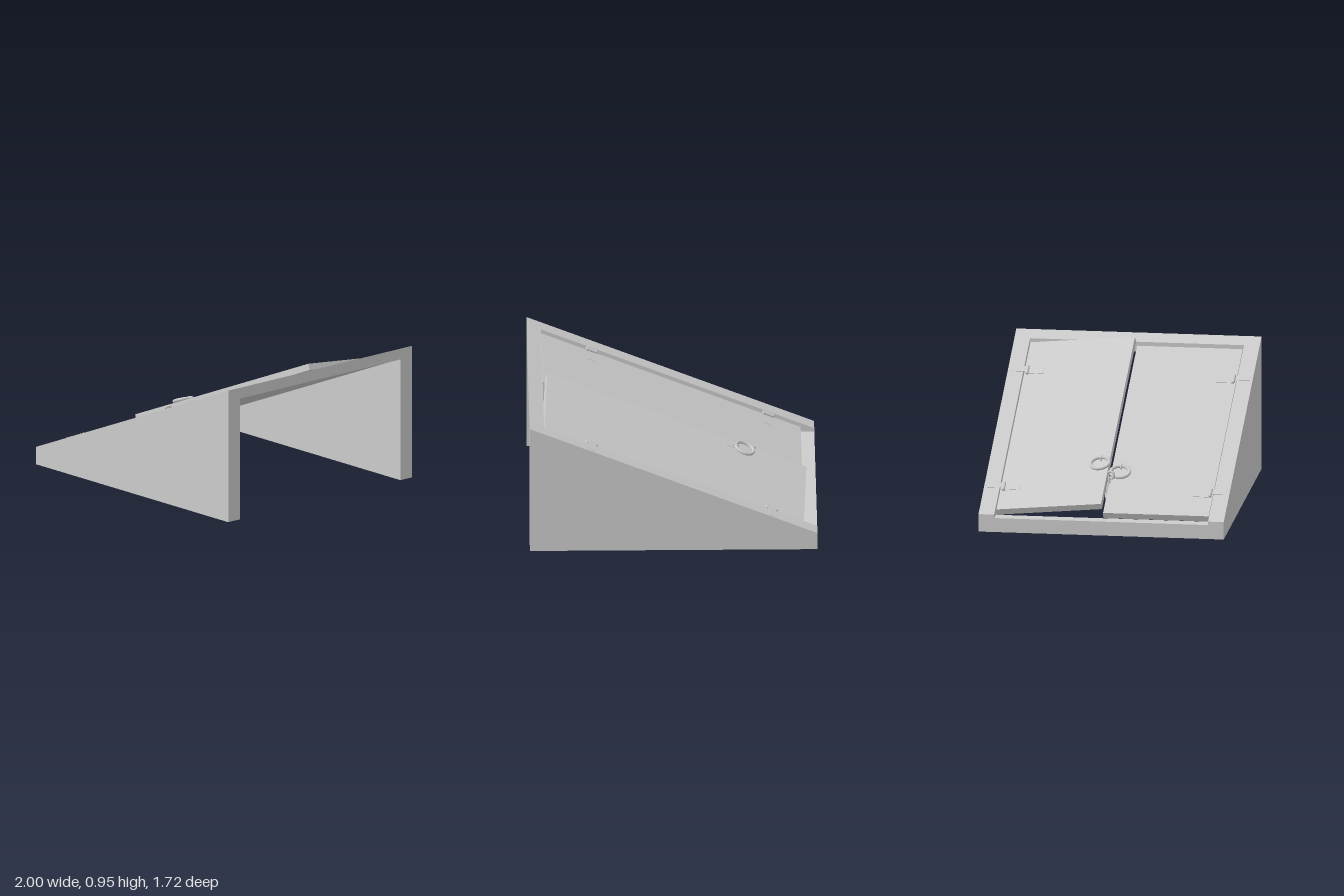
import * as THREE from 'three';

const material = new THREE.MeshStandardMaterial({ color: 0xcccccc });

function part(name, geometry, parent, x = 0, y = 0, z = 0) {
  const mesh = new THREE.Mesh(geometry, material);
  mesh.name = name;
  mesh.position.set(x, y, z);
  parent.add(mesh);
  return mesh;
}

// Side profile in x/y, extruded along z
function slab(points, depth) {
  const shape = new THREE.Shape(points.map(([x, y]) => new THREE.Vector2(x, y)));
  return new THREE.ExtrudeGeometry(shape, { depth, bevelEnabled: false });
}

const box = (w, h, d) => new THREE.BoxGeometry(w, h, d);
const SLOPE = Math.atan(0.4125);
const HINGE_Z = 0.742;
const UNDER = -0.069; // door underside, measured from the sloping frame top
const THICK = 0.045;

// One leaf, its origin on the hinge line; side is +1 or -1 in z
function makeDoor(side, opening) {
  const door = new THREE.Group();
  door.name = side > 0 ? 'closedDoor' : 'raisedDoor';
  door.position.set(0, UNDER, side * HINGE_Z);
  door.rotation.x = side * opening;

  const width = HINGE_Z - 0.001;
  part('doorPanel', box(1.949, THICK, width), door, -0.0145, THICK / 2, -side * width / 2);

  // Pull ring, its staple and small plate
  const ring = part('pullRing', new THREE.TorusGeometry(0.066, 0.012, 10, 32), door,
    -0.522, THICK + 0.012, -side * (HINGE_Z - 0.064));
  ring.rotation.x = Math.PI / 2;
  part('ringPlate', box(0.07, 0.004, 0.06), door, -0.415, THICK + 0.001, -side * (HINGE_Z - 0.06));
  const staple = part('ringStaple', new THREE.TorusGeometry(0.02, 0.007, 8, 16, Math.PI), door,
    -0.455, THICK, -side * (HINGE_Z - 0.064));
  staple.rotation.y = 0;

  // Door half of each hinge
  for (const u of hingeSpots(side)) {
    part('hingeDoorPlate', box(0.058, 0.004, 0.11), door, u, THICK + 0.001, -side * 0.082);
  }
  return door;
}

const hingeSpots = (side) => [-0.74, side > 0 ? 0.59 : 0.615];

export function createModel() {
  const model = new THREE.Group();
  model.name = 'cellarDoors';

  // Wedge-shaped side walls
  const wall = slab([[-1, 0], [1, 0], [1, 0.95], [-1, 0.125]], 0.11);
  part('rightWall', wall, model, 0, 0, 0.75);
  part('leftWall', wall, model, 0, 0, -0.86);

  // Low sill and sloping head rail joining the walls
  part('sill', box(0.095, 0.1, 1.5), model, -0.9525, 0.05, 0);
  part('headRail', slab([[0.9, 0.838], [1, 0.872], [1, 0.95], [0.9, 0.909]], 1.5), model, 0, 0, -0.75);

  // Everything lying on the slope
  const slope = new THREE.Group();
  slope.name = 'slope';
  slope.position.y = 0.5375;
  slope.rotation.z = SLOPE;
  model.add(slope);
  slope.add(makeDoor(1, 0), makeDoor(-1, 0.105));

  // Frame half of each hinge with barrel and pin heads
  for (const side of [1, -1]) {
    for (const u of hingeSpots(side)) {
      part('hingeFramePlate', box(0.058, 0.004, 0.1), slope, u, 0.001, side * 0.79);
      const barrel = part('hingeBarrel', new THREE.CylinderGeometry(0.012, 0.012, 0.058, 12), slope,
        u, -0.006, side * 0.725);
      barrel.rotation.z = Math.PI / 2;
      for (const end of [-1, 1]) {
        part('hingePinHead', new THREE.SphereGeometry(0.013, 10, 8), slope,
          u + end * 0.034, -0.006, side * 0.725);
      }
    }
  }

  // Chain links dropping through the gap between the leaves
  const links = [
    [-0.565, 0.325, 0.012, 0.025, 1, 1.1],
    [-0.56, 0.275, -0.022, 0.03, 1.7, 0.9],
    [-0.56, 0.21, -0.018, 0.036, 1.6, 0.3],
  ];
  links.forEach(([x, y, z, radius, stretch, turn]) => {
    const link = part('chainLink', new THREE.TorusGeometry(radius, 0.009, 8, 24), model, x, y, z);
    link.scale.y = stretch;
    link.rotation.y = turn;
  });

  return model;
}
